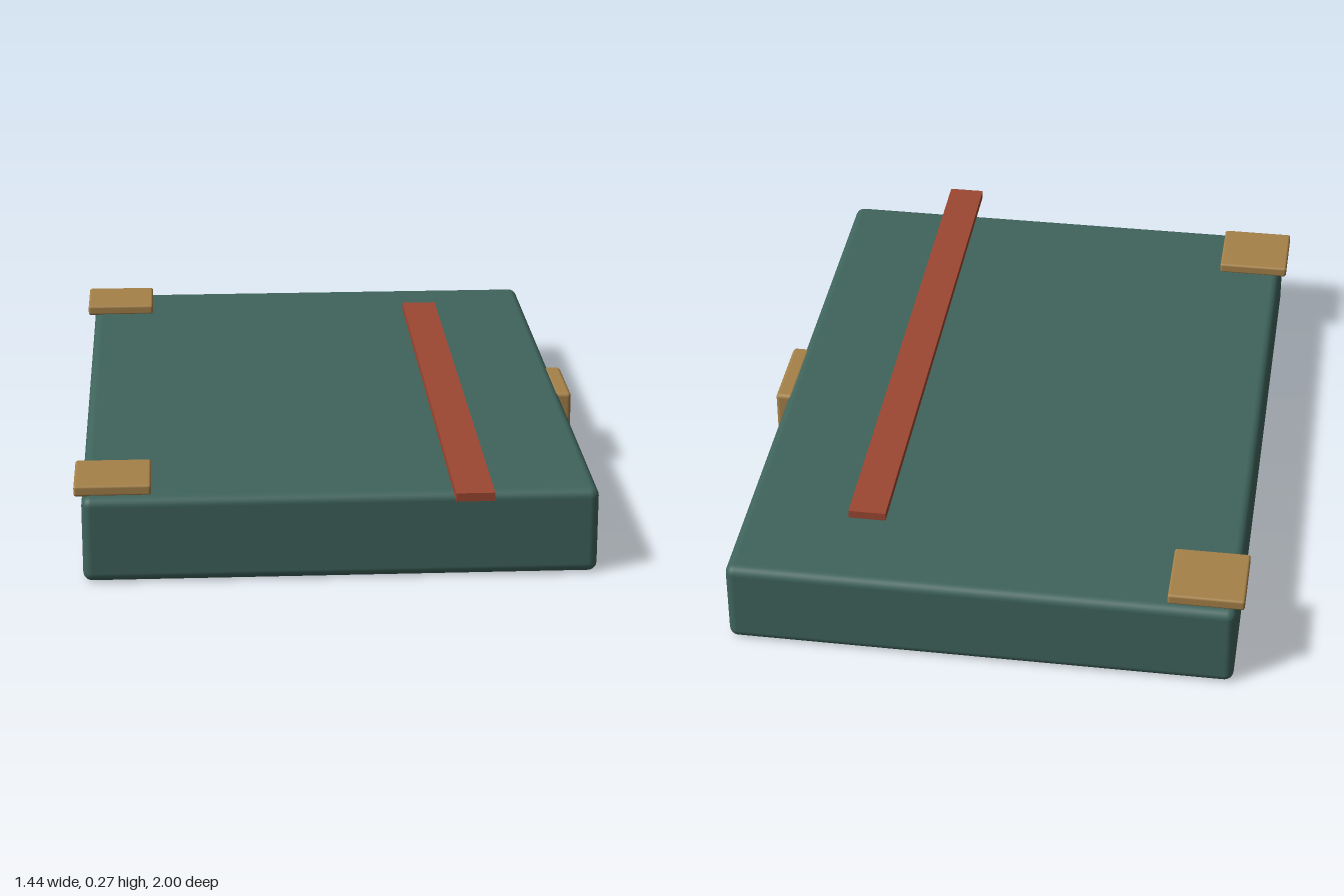
import * as THREE from 'three';
import { RoundedBoxGeometry } from 'three/addons/geometries/RoundedBoxGeometry.js';

const material = (name, color) => {
  const m = new THREE.MeshStandardMaterial({ color });
  m.name = name;
  return m;
};

export function createModel() {
  const green = material('green cover', 0x3f645c);
  const brass = material('brass', 0xa58149);
  const red = material('red ribbon', 0x9c4832);
  const group = new THREE.Group();
  group.name = 'book';

  // Box spanning two corners, with rounded edges when a radius is given
  const block = (name, mat, min, max, radius = 0) => {
    const size = max.map((v, i) => v - min[i]);
    const geometry = radius
      ? new RoundedBoxGeometry(...size, 3, radius)
      : new THREE.BoxGeometry(...size);
    const mesh = new THREE.Mesh(geometry, mat);
    mesh.name = name;
    mesh.position.set(...max.map((v, i) => (v + min[i]) / 2));
    group.add(mesh);
  };

  // Closed cover
  block('cover', green, [-0.70, 0.005, -1.0], [0.68, 0.243, 0.907], 0.025);

  // Corner plates beside the spine
  block('backCornerPlate', brass, [-0.72, 0.24, -0.977], [-0.515, 0.27, -0.77], 0.007);
  block('frontCornerPlate', brass, [-0.72, 0.24, 0.673], [-0.515, 0.27, 0.88], 0.007);

  // Clasp on the opening edge
  block('clasp', brass, [0.665, 0.085, -0.172], [0.717, 0.237, 0.083], 0.012);

  // Ribbon, raised just above the cover and overhanging the front
  block('ribbon', red, [0.285, 0.252, -0.74], [0.388, 0.275, 1.0]);

  return group;
}
